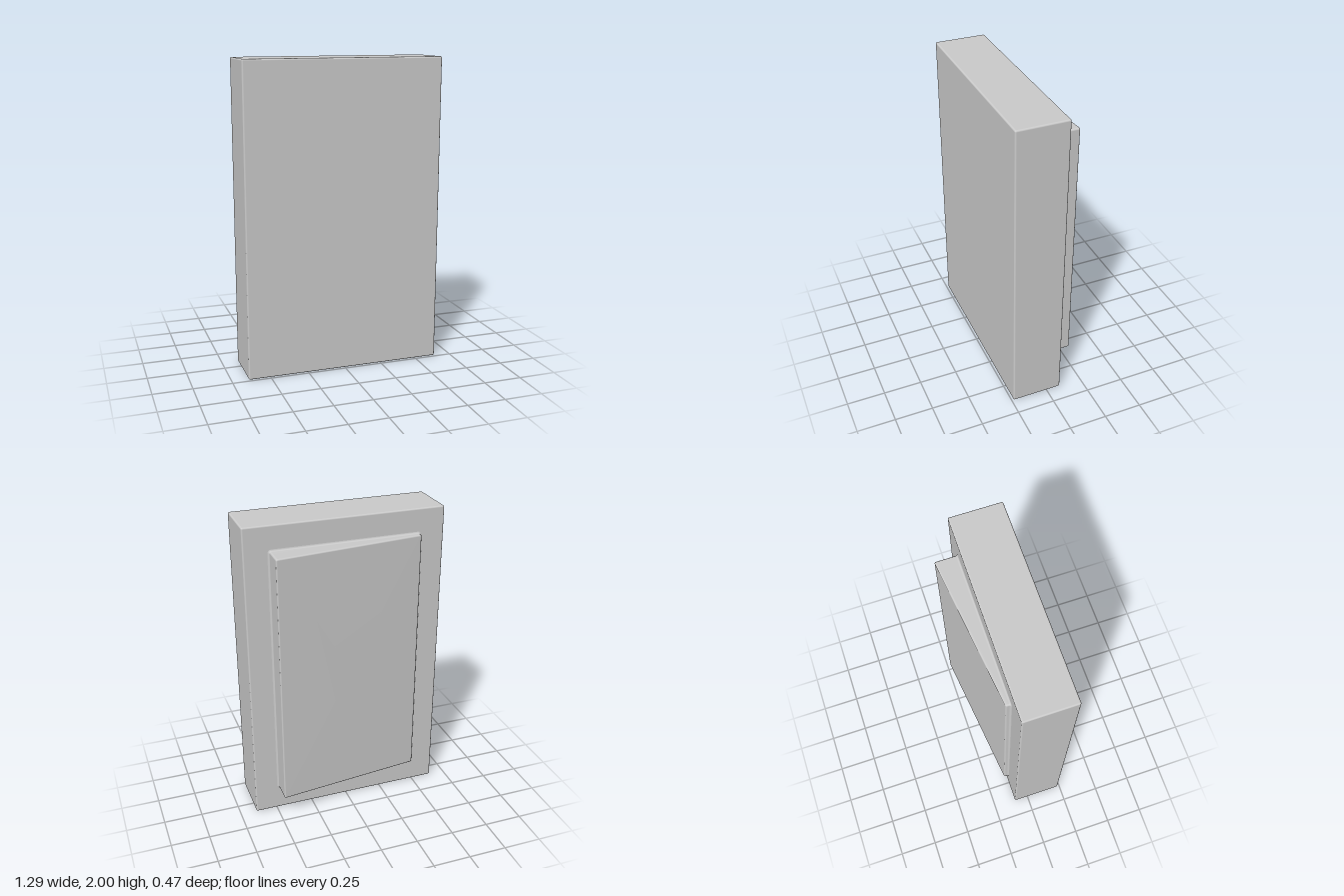
import * as THREE from 'three';
import { RoundedBoxGeometry } from 'three/addons/geometries/RoundedBoxGeometry.js';

const BACK = -0.096; // back face of the slab
const wedgeHeight = (x) => 0.087 + 0.114 * x;

// Rounded rectangle loop, counter-clockwise in x/y
function rectLoop(x0, x1, y0, y1, radius, steps = 4) {
  const corners = [[x1, y0, -1, 1], [x1, y1, -1, -1], [x0, y1, 1, -1], [x0, y0, 1, 1]];
  const loop = [];
  corners.forEach(([x, y, sx, sy], k) => {
    for (let i = 0; i <= steps; i++) {
      const a = (k - 1 + i / steps) * Math.PI / 2;
      loop.push([x + sx * radius + radius * Math.cos(a), y + sy * radius + radius * Math.sin(a)]);
    }
  });
  return loop;
}

// Sloped pad: a filleted foot, straight walls and a rounded top edge
function wedgeGeometry() {
  const fillet = 0.012, round = 0.01, steps = 4;
  const rings = [];
  for (let i = 0; i <= steps; i++) {
    const a = (i / steps) * Math.PI / 2;
    rings.push({ out: fillet * (1 - Math.sin(a)), z: () => fillet * (1 - Math.cos(a)) });
  }
  for (let i = 0; i <= steps; i++) {
    const a = (i / steps) * Math.PI / 2;
    rings.push({ out: -round * (1 - Math.cos(a)), z: (x) => wedgeHeight(x) - round * (1 - Math.sin(a)) });
  }
  const pos = [], index = [];
  let n = 0;
  for (const { out, z } of rings) {
    const loop = rectLoop(-0.482 - out, 0.482 + out, 0.165 - out, 1.84 + out, 0.012 + out);
    n = loop.length;
    for (const [x, y] of loop) pos.push(x, y, BACK - z(x));
  }
  for (let r = 0; r < rings.length - 1; r++) {
    for (let j = 0; j < n; j++) {
      const a = r * n + j, b = r * n + (j + 1) % n;
      index.push(a, a + n, b, b, a + n, b + n);
    }
  }
  // Sloping top face
  const last = (rings.length - 1) * n, centre = rings.length * n;
  pos.push(0, 1.0025, BACK - wedgeHeight(0));
  for (let j = 0; j < n; j++) index.push(centre, last + (j + 1) % n, last + j);

  const geo = new THREE.BufferGeometry();
  geo.setAttribute('position', new THREE.Float32BufferAttribute(pos, 3));
  geo.setIndex(index);
  geo.computeVertexNormals();
  return geo;
}

export function createModel() {
  const group = new THREE.Group();
  const material = new THREE.MeshStandardMaterial({ color: 0xcccccc });

  // Main slab
  const slab = new THREE.Mesh(new RoundedBoxGeometry(1.286, 2, 0.333, 4, 0.01), material);
  slab.name = 'slab';
  slab.position.set(0, 1, BACK + 0.333 / 2);
  group.add(slab);

  // Raised wedge on the back
  const wedge = new THREE.Mesh(wedgeGeometry(), material);
  wedge.name = 'backWedge';
  group.add(wedge);

  return group;
}
